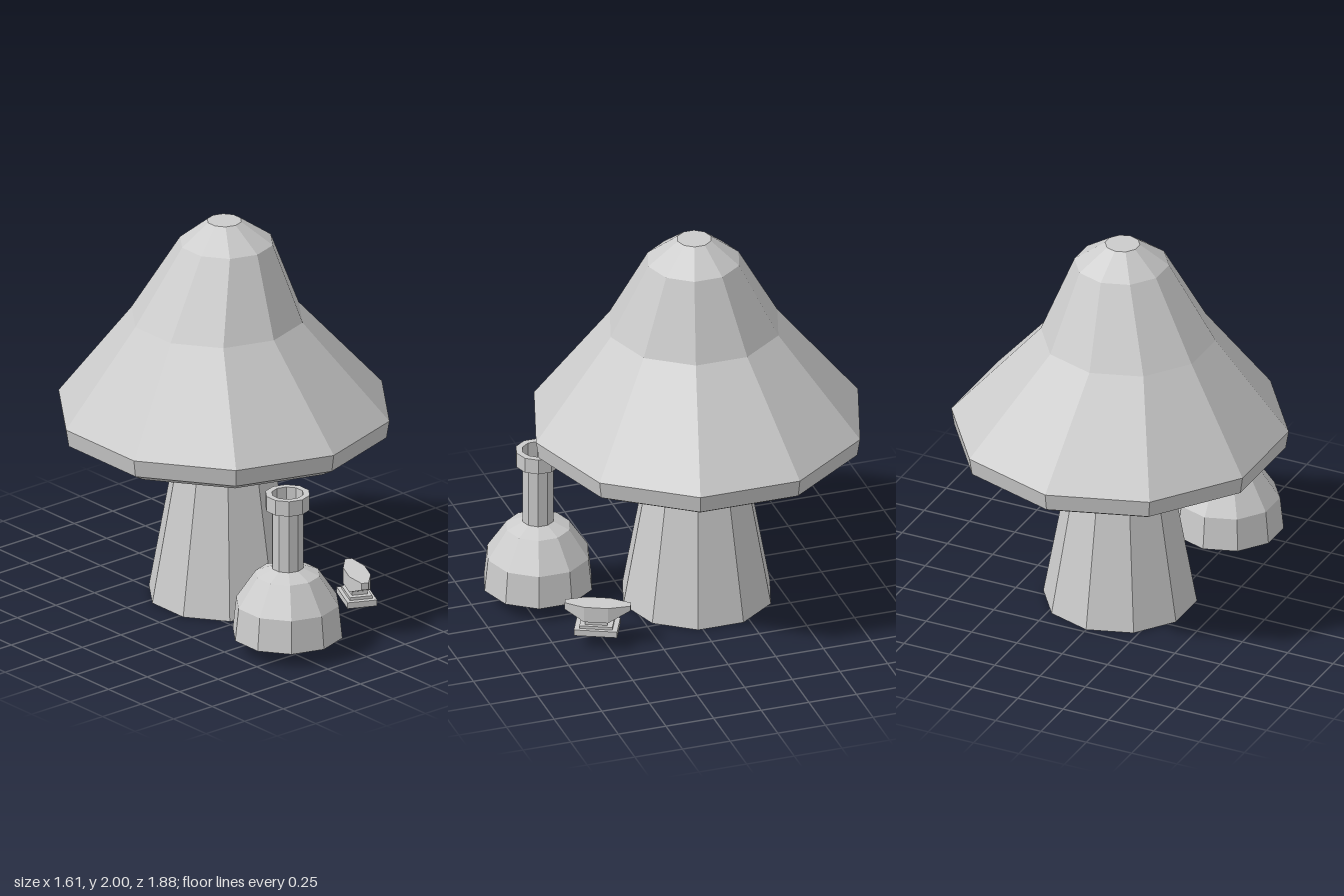
import * as THREE from 'three';

const SIDES = 10;
const flat = () => new THREE.MeshStandardMaterial({ color: 0xcccccc, flatShading: true });
const flatOpen = () => new THREE.MeshStandardMaterial({ color: 0xcccccc, flatShading: true, side: THREE.DoubleSide });

// Skin a stack of equal-length rings and close both ends.
function loft(rings) {
  const pos = [];
  const n = rings[0].length;
  const tri = (a, b, c) => pos.push(...a, ...b, ...c);
  for (let r = 0; r < rings.length - 1; r++) {
    const lo = rings[r], hi = rings[r + 1];
    for (let i = 0; i < n; i++) {
      const j = (i + 1) % n;
      tri(lo[i], lo[j], hi[j]);
      tri(lo[i], hi[j], hi[i]);
    }
  }
  const first = rings[0], last = rings[rings.length - 1];
  for (let i = 1; i < n - 1; i++) {
    tri(first[0], first[i + 1], first[i]);
    tri(last[0], last[i], last[i + 1]);
  }
  const geometry = new THREE.BufferGeometry();
  geometry.setAttribute('position', new THREE.Float32BufferAttribute(pos, 3));
  geometry.computeVertexNormals();
  return geometry;
}

// Horizontal polygon ring with its own centre.
function ring(y, radius, cx, cz) {
  return Array.from({ length: SIDES }, (_, i) => {
    const a = (i / SIDES) * Math.PI * 2;
    return [cx + radius * Math.sin(a), y, cz + radius * Math.cos(a)];
  });
}

function add(parent, name, geometry, material, x = 0, y = 0, z = 0) {
  const mesh = new THREE.Mesh(geometry, material);
  mesh.name = name;
  mesh.position.set(x, y, z);
  parent.add(mesh);
  return mesh;
}

const lathe = (points) =>
  new THREE.LatheGeometry(points.map(([r, y]) => new THREE.Vector2(r, y)), SIDES);

export function createModel() {
  const model = new THREE.Group();
  model.name = 'mushroomWorkshop';

  // Mushroom: tapered stem and a slightly crooked bell-shaped cap
  add(model, 'stem', new THREE.CylinderGeometry(0.226, 0.385, 0.88, SIDES), flat(), 0, 0.44, -0.095);
  add(model, 'cap', loft([
    ring(0.87, 0.76, 0, -0.097),
    ring(0.91, 0.83, 0, -0.097),
    ring(1.0, 0.845, 0, -0.097),
    ring(1.5, 0.437, -0.045, -0.097),
    ring(1.89, 0.237, 0, -0.078),
    ring(2.0, 0.087, -0.008, -0.085),
  ]), flat());

  // Flask: thin open shell, see-through from mouth to base
  const flask = new THREE.Group();
  flask.name = 'flask';
  flask.position.set(-0.225, 0, 0.66);
  model.add(flask);
  add(flask, 'flaskBody', lathe([
    [0.28, 0.08], [0.262, 0.25], [0.163, 0.4], [0.08, 0.435], [0.08, 0.75],
  ]), flatOpen());
  add(flask, 'flaskRim', lathe([
    [0.08, 0.75], [0.113, 0.75], [0.113, 0.83], [0.08, 0.83], [0.08, 0.75],
  ]), flatOpen());

  // Anvil: stepped foot, waist and a head tapering at both ends
  const anvil = new THREE.Group();
  anvil.name = 'anvil';
  anvil.position.set(0.325, 0, 0.54);
  anvil.rotation.y = 1.126;
  model.add(anvil);
  add(anvil, 'anvilFoot', new THREE.BoxGeometry(0.216, 0.032, 0.152), flat(), 0, 0.091, 0);
  add(anvil, 'anvilStep', new THREE.BoxGeometry(0.165, 0.016, 0.115), flat(), 0, 0.114, 0);
  add(anvil, 'anvilWaist', new THREE.BoxGeometry(0.11, 0.03, 0.08), flat(), 0, 0.135, 0);
  const section = ([x, w, bottom, top]) => [[x, top, w], [x, bottom, w], [x, bottom, -w], [x, top, -w]];
  add(anvil, 'anvilHead', loft([
    [-0.16, 0.018, 0.19, 0.226],
    [-0.06, 0.055, 0.143, 0.226],
    [0.06, 0.055, 0.143, 0.226],
    [0.168, 0.018, 0.2, 0.226],
  ].map(section)), flat());

  return model;
}
